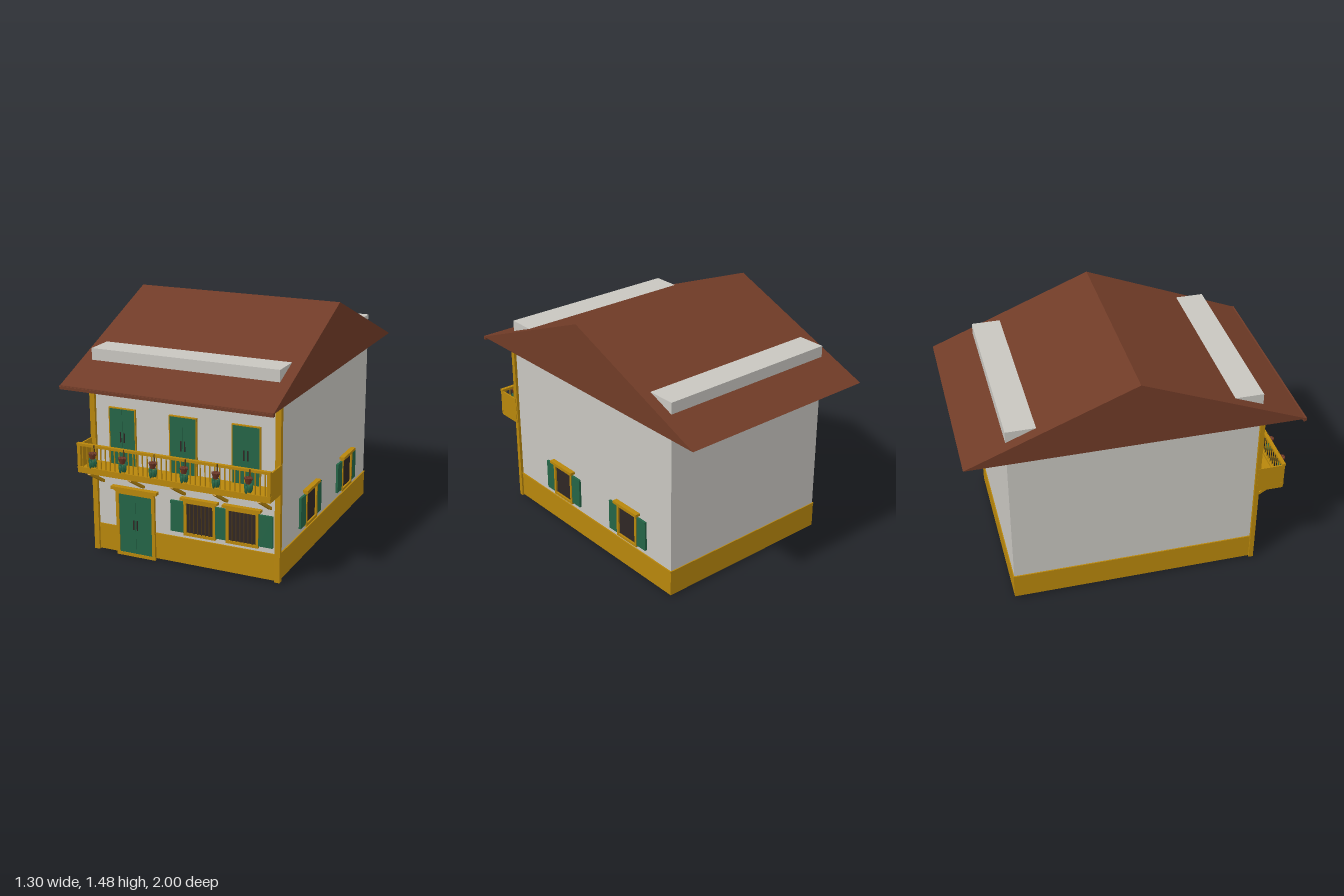
import * as THREE from 'three';

const mat = (name, color, extra = {}) => {
  const m = new THREE.MeshStandardMaterial({ color, ...extra });
  m.name = name;
  return m;
};

export function createModel() {
  const plaster = mat('plaster', 0xc8c6c0);
  const ochre = mat('ochre', 0xb8860b);
  const tile = mat('roofTile', 0x703b27);
  const green = mat('shutterGreen', 0x246446);
  const dark = mat('darkGlass', 0x2f2624);
  const iron = mat('barBrown', 0x4e3a1a);
  const clay = mat('clay', 0x6a3524);

  const house = new THREE.Group();
  house.name = 'house';

  const group = (name, parent = house) => {
    const g = new THREE.Group();
    g.name = name;
    parent.add(g);
    return g;
  };
  const add = (parent, name, geo, material, x = 0, y = 0, z = 0) => {
    const m = new THREE.Mesh(geo, material);
    m.name = name;
    m.position.set(x, y, z);
    parent.add(m);
    return m;
  };
  // Box given by its limits on each axis
  const box = (parent, name, material, x0, x1, y0, y1, z0, z1) =>
    add(parent, name, new THREE.BoxGeometry(x1 - x0, y1 - y0, z1 - z0), material,
      (x0 + x1) / 2, (y0 + y1) / 2, (z0 + z1) / 2);

  // Walls: their flat top pokes through both roof slopes
  box(house, 'walls', plaster, -0.583, 0.583, 0.015, 1.25, -0.75, 0.748);
  box(house, 'plinth', ochre, -0.588, 0.588, 0.016, 0.172, -0.754, 0.753);
  box(house, 'plinthCap', ochre, -0.591, 0.591, 0.17, 0.178, -0.756, 0.756);
  for (const s of [-1, 1]) {
    const [a, b] = s < 0 ? [-0.6, -0.567] : [0.567, 0.6];
    box(house, 'cornerPost', ochre, a, b, 0.012, 1.08, 0.738, 0.766);
  }

  // Gabled roof as a solid prism
  const gable = new THREE.Shape([
    new THREE.Vector2(-1, 1.08), new THREE.Vector2(1, 1.08), new THREE.Vector2(0, 1.48)]);
  const roofGeo = new THREE.ExtrudeGeometry(gable, { depth: 1.3, bevelEnabled: false });
  roofGeo.translate(0, 0, -0.65).rotateY(Math.PI / 2);
  add(house, 'roof', roofGeo, tile);
  box(house, 'eaveBoard', tile, -0.65, 0.65, 1.063, 1.085, 0.98, 0.998);
  for (let i = 0; i < 9; i++) {
    const x = -0.6 + i * 0.15;
    box(house, 'rafter', tile, x - 0.01, x + 0.01, 1.068, 1.082, 0.74, 0.985);
  }

  // Rectangular ochre frame round an opening, facing +z from z = 0
  const frame = (parent, w, y0, y1, t, depth) => {
    const h = w / 2;
    box(parent, 'frameSide', ochre, -h, -h + t, y0, y1, 0, depth);
    box(parent, 'frameSide', ochre, h - t, h, y0, y1, 0, depth);
    box(parent, 'frameTop', ochre, -h, h, y1 - t, y1, 0, depth);
    box(parent, 'frameBottom', ochre, -h, h, y0, y0 + t, 0, depth);
  };
  const lintel = (parent, w, y0, y1, depth) => {
    box(parent, 'lintel', ochre, -w / 2, w / 2, y0, y1, 0, depth);
    box(parent, 'lintelNeck', ochre, -w / 2 + 0.02, w / 2 - 0.02, y0 - 0.012, y0, 0, depth * 0.7);
  };
  const leaves = (parent, w, y0, y1) => {
    for (const s of [-1, 1]) {
      const c = s * w / 4, h = w / 4 - 0.001;
      box(parent, 'doorLeaf', green, c - h, c + h, y0, y1, 0, 0.012);
      box(parent, 'handle', dark, s * 0.012 - 0.003, s * 0.012 + 0.003,
        (y0 + y1) / 2 - 0.03, (y0 + y1) / 2 + 0.03, 0.01, 0.017);
    }
  };

  // Shuttered window; shutters are listed as [x0, x1]
  const makeWindow = (name, w, shutters, bars) => {
    const g = group(name);
    frame(g, w, 0.2, 0.416, 0.016, 0.018);
    box(g, 'pane', dark, -w / 2 + 0.014, w / 2 - 0.014, 0.212, 0.404, 0, 0.007);
    lintel(g, w + 0.035, 0.418, 0.434, 0.032);
    for (const [a, b] of shutters) box(g, 'shutter', green, a, b, 0.213, 0.403, 0, 0.014);
    for (let i = 1; i <= bars; i++) {
      add(g, 'bar', new THREE.CylinderGeometry(0.0035, 0.0035, 0.2, 6), iron,
        -w / 2 + 0.014 + (w - 0.028) * i / (bars + 1), 0.308, 0.013);
    }
    return g;
  };
  makeWindow('frontWindow', 0.2, [[-0.186, -0.1], [0.1, 0.168]], 6).position.set(0.1, 0, 0.748);
  makeWindow('frontWindow', 0.2, [[0.1, 0.186]], 6).position.set(0.367, 0, 0.748);
  for (const z of [0.267, -0.366]) {
    const g = makeWindow('sideWindow', 0.182, [[-0.168, -0.091], [0.091, 0.168]], 0);
    g.position.set(0.583, 0, z);
    g.rotation.y = Math.PI / 2;
  }

  // Front door
  const door = group('frontDoor');
  door.position.set(-0.317, 0, 0.752);
  frame(door, 0.256, 0.004, 0.412, 0.02, 0.016);
  leaves(door, 0.216, 0.016, 0.396);
  lintel(door, 0.302, 0.42, 0.438, 0.034);

  // Balcony doors
  for (const x of [-0.39, 0, 0.39]) {
    const g = group('balconyDoor');
    g.position.set(x, 0, 0.748);
    frame(g, 0.174, 0.565, 0.916, 0.006, 0.014);
    leaves(g, 0.166, 0.57, 0.911);
  }

  // Balcony with rails, balusters, closed ends and struts
  const balcony = group('balcony');
  box(balcony, 'floor', ochre, -0.602, 0.602, 0.547, 0.572, 0.748, 0.915);
  box(balcony, 'lowerRail', ochre, -0.604, 0.604, 0.572, 0.584, 0.9, 0.918);
  box(balcony, 'handRail', ochre, -0.604, 0.604, 0.712, 0.727, 0.898, 0.92);
  for (const s of [-1, 1]) {
    box(balcony, 'endPanel', ochre, s * 0.597 - 0.005, s * 0.597 + 0.005, 0.56, 0.715, 0.75, 0.915);
    box(balcony, 'railPost', ochre, s * 0.592 - 0.01, s * 0.592 + 0.01, 0.56, 0.725, 0.9, 0.917);
  }
  const baluster = new THREE.CylinderGeometry(0.004, 0.004, 0.134, 6);
  for (let i = 1; i < 40; i++) add(balcony, 'baluster', baluster, ochre, -0.6 + i * 0.03, 0.647, 0.909);
  for (let i = -2; i <= 2; i++) {
    const strut = add(balcony, 'strut', new THREE.BoxGeometry(0.02, 0.016, 0.185), ochre,
      i * 0.267, 0.498, 0.829);
    strut.rotation.x = -Math.atan2(0.095, 0.155);
  }

  // Hanging flower pots with trailing leaves
  const potGeo = new THREE.CylinderGeometry(0.024, 0.015, 0.034, 8);
  const leafGeo = new THREE.SphereGeometry(0.01, 6, 5).scale(1, 2.4, 0.9);
  const budGeo = new THREE.SphereGeometry(0.009, 6, 4);
  for (let i = 0; i < 6; i++) {
    const g = group('hangingPot', balcony);
    g.position.set(-0.486 + i * 0.194, 0.665, 0.94);
    add(g, 'pot', potGeo, clay, 0, 0.006, 0);
    box(g, 'hook', iron, -0.003, 0.003, 0.02, 0.064, -0.022, -0.016);
    for (let k = 0; k < 6; k++) {
      const a = k * Math.PI / 3, c = Math.cos(a), s = Math.sin(a);
      add(g, 'trailingLeaf', leafGeo, green, c * 0.017, -0.03 - (k % 3) * 0.007, s * 0.013);
      add(g, 'flower', budGeo, clay, c * 0.018, 0.018, s * 0.014);
    }
  }

  return house;
}
